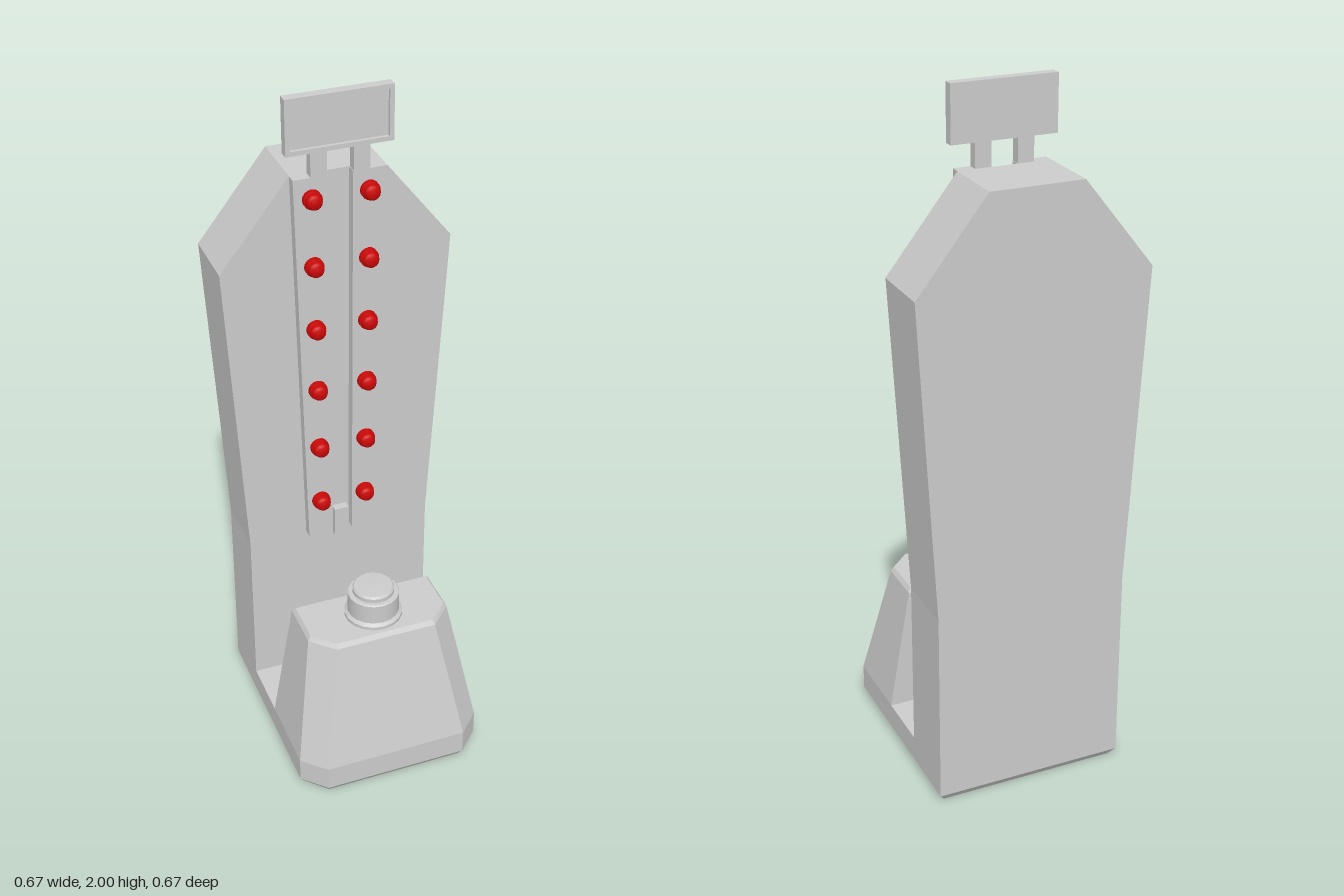
import * as THREE from 'three';

const grey = new THREE.MeshStandardMaterial({ color: 0xcccccc, flatShading: true });
const smoothGrey = new THREE.MeshStandardMaterial({ color: 0xcccccc });
const red = new THREE.MeshStandardMaterial({ color: 0xcc0808 });

const BACK = -0.337, FACE = -0.142, RAIL = -0.113;

function add(parent, name, geometry, material = grey) {
  const mesh = new THREE.Mesh(geometry, material);
  mesh.name = name;
  parent.add(mesh);
  return mesh;
}

// Outline with two cut front corners, at height y
function outline(y, w, zBack, zSide, wFront, zFront) {
  return [[-w, zBack], [-w, zSide], [-wFront, zFront], [wFront, zFront], [w, zSide], [w, zBack]]
    .map(([x, z]) => [x, y, z]);
}

// Solid from stacked outlines, capped at both ends
function loft(layers) {
  const p = [];
  const n = layers[0].length;
  for (let k = 0; k < layers.length - 1; k++) {
    const a = layers[k], b = layers[k + 1];
    for (let i = 0; i < n; i++) {
      const j = (i + 1) % n;
      p.push(...a[i], ...a[j], ...b[j], ...a[i], ...b[j], ...b[i]);
    }
  }
  const bottom = layers[0], top = layers[layers.length - 1];
  for (let i = 1; i < n - 1; i++) {
    p.push(...bottom[0], ...bottom[i + 1], ...bottom[i]);
    p.push(...top[0], ...top[i], ...top[i + 1]);
  }
  const g = new THREE.BufferGeometry();
  g.setAttribute('position', new THREE.Float32BufferAttribute(p, 3));
  g.computeVertexNormals();
  return g;
}

// Flat panel between two depths, with optional hole
function panel(points, z0, z1, hole) {
  const vec = (list) => list.map(([x, y]) => new THREE.Vector2(x, y));
  const shape = new THREE.Shape(vec(points));
  if (hole) shape.holes.push(new THREE.Path(vec(hole)));
  return new THREE.ExtrudeGeometry(shape, { depth: z1 - z0, bevelEnabled: false }).translate(0, 0, z0);
}

const rect = (x0, y0, x1, y1) => [[x0, y0], [x1, y0], [x1, y1], [x0, y1]];

// Lathe with a hard edge at every profile corner
function turned(profile, segments) {
  const pts = [];
  profile.forEach(([r, y], i) => {
    pts.push(new THREE.Vector2(r, y));
    if (i > 0 && i < profile.length - 1) pts.push(new THREE.Vector2(r, y));
  });
  return new THREE.LatheGeometry(pts, segments);
}

export function createModel() {
  const model = new THREE.Group();
  model.name = 'strengthTester';

  // Base plate with a chamfered underside
  add(model, 'base', loft([
    outline(0, 0.262, BACK + 0.018, 0.262, 0.207, 0.319),
    outline(0.025, 0.28, BACK, 0.272, 0.215, 0.337),
    outline(0.1, 0.28, BACK, 0.272, 0.215, 0.337),
  ]));

  // Tapered pedestal in front
  add(model, 'pedestal', loft([
    outline(0.1, 0.28, 0.038, 0.272, 0.215, 0.337),
    outline(0.472, 0.216, 0.038, 0.181, 0.152, 0.246),
    outline(0.485, 0.207, 0.046, 0.178, 0.147, 0.236),
  ]));

  // Strike button: collar and cap
  const button = new THREE.Group();
  button.name = 'strikeButton';
  button.position.set(0, 0.485, 0.14);
  add(button, 'buttonCollar', turned(
    [[0.085, 0], [0.085, 0.01], [0.076, 0.018], [0.076, 0.079], [0.072, 0.082], [0, 0.082]], 18), smoothGrey);
  add(button, 'buttonCap', turned(
    [[0.061, 0.08], [0.061, 0.094], [0.056, 0.1], [0, 0.102]], 18), smoothGrey);
  model.add(button);

  // Tall back board
  add(model, 'tower', panel([
    [-0.28, 0.1], [0.28, 0.1], [0.28, 0.6], [0.333, 1.52],
    [0.132, 1.775], [-0.132, 1.775], [-0.333, 1.52], [-0.28, 0.6],
  ], BACK, FACE));

  // Bulb turned about its axis, pointing forward
  const bulbGeometry = new THREE.LatheGeometry([
    [0.027, 0], [0.027, 0.013], [0.027, 0.013], [0.023, 0.014], [0.023, 0.014],
    [0.023, 0.024], [0.02, 0.031], [0.014, 0.035], [0, 0.037],
  ].map(([r, y]) => new THREE.Vector2(r, y)), 16).rotateX(Math.PI / 2);

  // Rails, sign posts and bulbs on both sides
  for (const s of [-1, 1]) {
    const side = s < 0 ? 'right' : 'left';
    const mirror = (pts) => (s > 0 ? pts : pts.map(([x, y]) => [-x, y]).reverse());
    add(model, side + 'Rail', panel(mirror(
      [[0.03, 0.607], [0.105, 0.607], [0.132, 1.775], [0.035, 1.775]]), FACE, RAIL));
    add(model, side + 'SignPost', panel(mirror(rect(0.037, 1.775, 0.083, 1.845)), FACE, RAIL));
    [0.735, 0.926, 1.122, 1.32, 1.515, 1.715].forEach((y, i) => {
      add(model, side + 'Bulb' + (i + 1), bulbGeometry, red).position.set(s * (0.068 + i * 0.0026), y, RAIL);
    });
  }

  // Sliding puck at the foot of the groove
  add(model, 'puck', panel(rect(-0.022, 0.585, 0.022, 0.68), FACE, RAIL - 0.004));

  // Sign with a raised rim
  add(model, 'signBoard', panel(rect(-0.15, 1.843, 0.15, 2), FACE, RAIL - 0.01));
  add(model, 'signRim', panel(rect(-0.15, 1.843, 0.15, 2), RAIL - 0.01, RAIL,
    rect(-0.137, 1.856, 0.137, 1.987)));

  return model;
}
